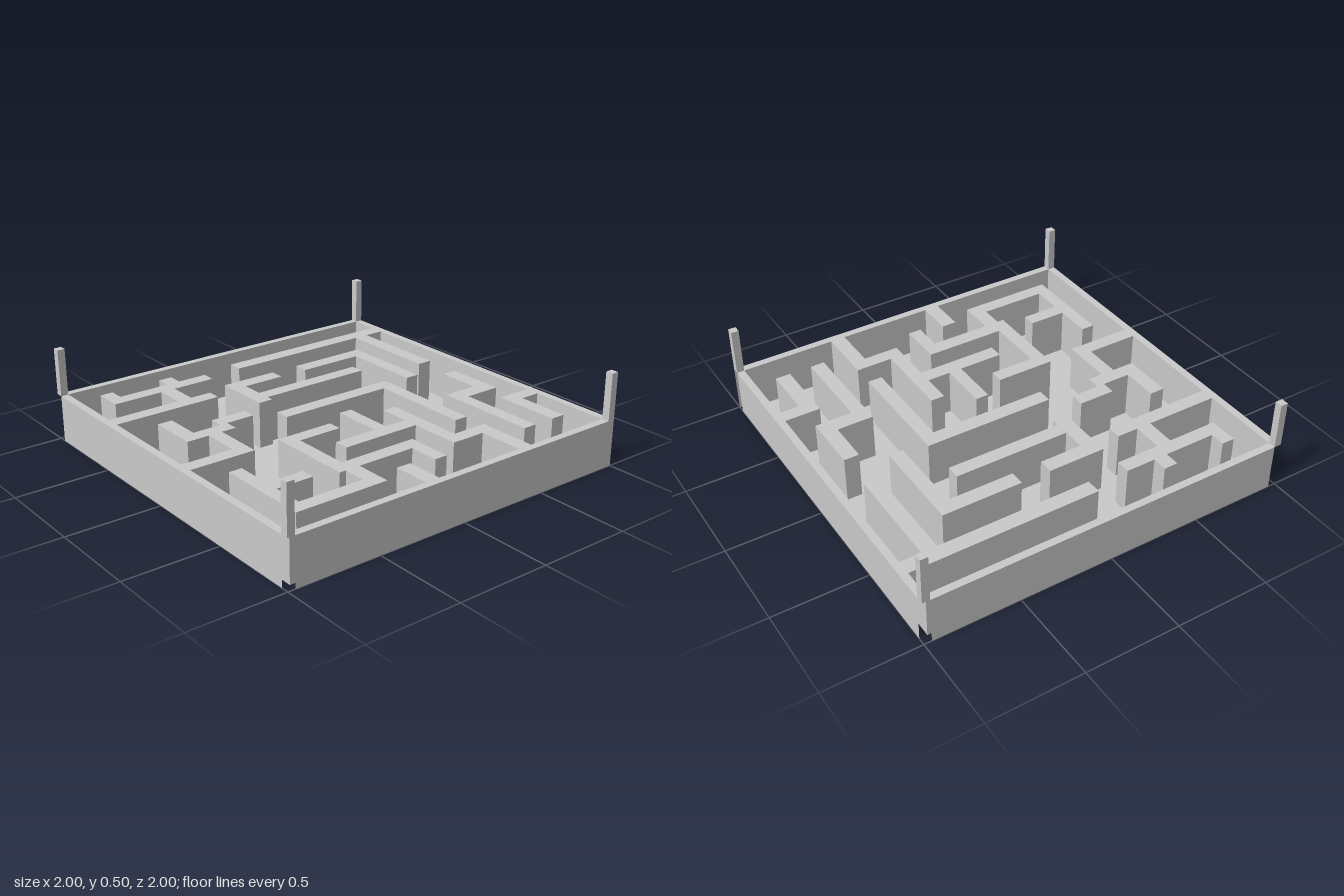
import * as THREE from 'three';

const HEIGHT = 0.25; // wall height
const RIM = 0.96;    // inner edge of the border wall

const material = new THREE.MeshStandardMaterial({ color: 0xcccccc, side: THREE.DoubleSide });

// Right-angled outline: start x, start z, then one new coordinate per turn.
function trace(axis, [x, z, ...turns]) {
  const points = [[x, z]];
  for (const value of turns) {
    if (axis === 'x') x = value;
    else z = value;
    axis = axis === 'x' ? 'z' : 'x';
    points.push([x, z]);
  }
  return points;
}

// Walls that grow from the border, in order round the tray
const backLeftWall = trace('z', [-0.81, -RIM, 0.05, -0.73, -0.77, -0.18, -0.85, -0.73, -RIM]);
const backRightWall = trace('z', [0.45, -RIM, -0.77, 0.805, -0.85, 0.525, -RIM]);
const sideLongWall = trace('x', [RIM, -0.455, 0.645, -0.26, 0.21, -0.185, 0.37, -0.06, 0.1, 0.01,
  0.37, 0.25, 0.45, -0.185, 0.72, -0.375, RIM]);
const sideStub = trace('x', [RIM, 0.13, 0.765, 0.21, RIM]);
const frontMiddleWall = trace('z', [0.21, RIM, 0.605, -0.065, 0.525, -0.14, 0.37, -0.215, 0.565,
  -0.14, 0.72, -0.335, 0.8, -0.065, 0.68, 0.135, RIM]);
const frontBranchWall = trace('z', [-0.455, RIM, 0.37, -0.53, 0.485, -0.69, 0.25, -0.765, 0.41,
  -0.845, 0.485, -0.765, 0.765, -0.845, 0.835, -0.69, 0.565, -0.53, RIM]);

// Outline of the walkable floor
const corridor = [
  [-RIM, -RIM], ...backLeftWall, ...backRightWall,
  [RIM, -RIM], ...sideLongWall, ...sideStub,
  [RIM, RIM], ...frontMiddleWall, ...frontBranchWall,
  [-RIM, RIM],
];

// Free-standing walls
const islands = [
  trace('x', [0.02, -0.85, 0.335, -0.65, 0.805, -0.575, 0.25, -0.77, 0.02]),
  trace('x', [-0.57, -0.65, -0.06, -0.575, -0.49, -0.22, -0.57]),
  trace('x', [-0.1, -0.455, 0.525, -0.38, -0.02, 0.25, -0.1]),
  trace('x', [-0.57, -0.06, -0.49, 0.17, -0.37, -0.455, -0.295, 0.17, -0.255, 0.25, -0.57]),
  trace('x', [0.565, -0.06, 0.805, 0.01, 0.645, 0.33, 0.84, 0.835, 0.335, 0.765, 0.53, 0.565,
    0.605, 0.765, 0.765, 0.41, 0.645, 0.445, 0.175, 0.13, 0.25, 0.37, 0.565]),
];

const toVectors = (points) => points.map(([x, z]) => new THREE.Vector2(x, -z));

// Horizontal sheet facing up
function sheet(outline, holes, y) {
  const shape = new THREE.Shape(toVectors(outline));
  shape.holes = holes.map((hole) => new THREE.Path(toVectors(hole)));
  return new THREE.ShapeGeometry(shape).rotateX(-Math.PI / 2).translate(0, y, 0);
}

// Upright faces along a list of segments
function uprights(segments) {
  const positions = [];
  for (const [[ax, az], [bx, bz]] of segments) {
    positions.push(ax, 0, az, bx, 0, bz, bx, HEIGHT, bz);
    positions.push(ax, 0, az, bx, HEIGHT, bz, ax, HEIGHT, az);
  }
  const geometry = new THREE.BufferGeometry();
  geometry.setAttribute('position', new THREE.Float32BufferAttribute(positions, 3));
  geometry.computeVertexNormals();
  return geometry;
}

const closedLoop = (points) => points.map((p, i) => [p, points[(i + 1) % points.length]]);

export function createModel() {
  const group = new THREE.Group();
  group.name = 'mazeTray';
  const add = (name, geometry) => {
    const mesh = new THREE.Mesh(geometry, material);
    mesh.name = name;
    group.add(mesh);
    return mesh;
  };

  // Floor, open beneath the hollow walls
  add('floor', sheet(corridor, islands, 0));

  // Border wall with everything attached to it
  add('borderWallTop', sheet([[-1, -1], [1, -1], [1, 1], [-1, 1]], [corridor], HEIGHT));
  add('borderWallInside', uprights(closedLoop(corridor)));

  // Outer faces stop short of the corners, except at the back of the right side
  add('borderWallOutside', uprights([
    [[-RIM, 1], [RIM, 1]],
    [[1, RIM], [1, -1]],
    [[RIM, -1], [-RIM, -1]],
    [[-1, -RIM], [-1, RIM]],
  ]));

  // Free-standing walls
  islands.forEach((outline, i) => {
    add(`innerWallTop${i + 1}`, sheet(outline, [], HEIGHT));
    add(`innerWallSides${i + 1}`, uprights(closedLoop([...outline].reverse())));
  });

  // Corner posts
  const post = new THREE.BoxGeometry(1 - RIM, 0.25, 1 - RIM);
  for (const x of [-1, 1]) {
    for (const z of [-1, 1]) {
      add('cornerPost', post).position.set(x * (1 + RIM) / 2, HEIGHT + 0.125, z * (1 + RIM) / 2);
    }
  }

  return group;
}
